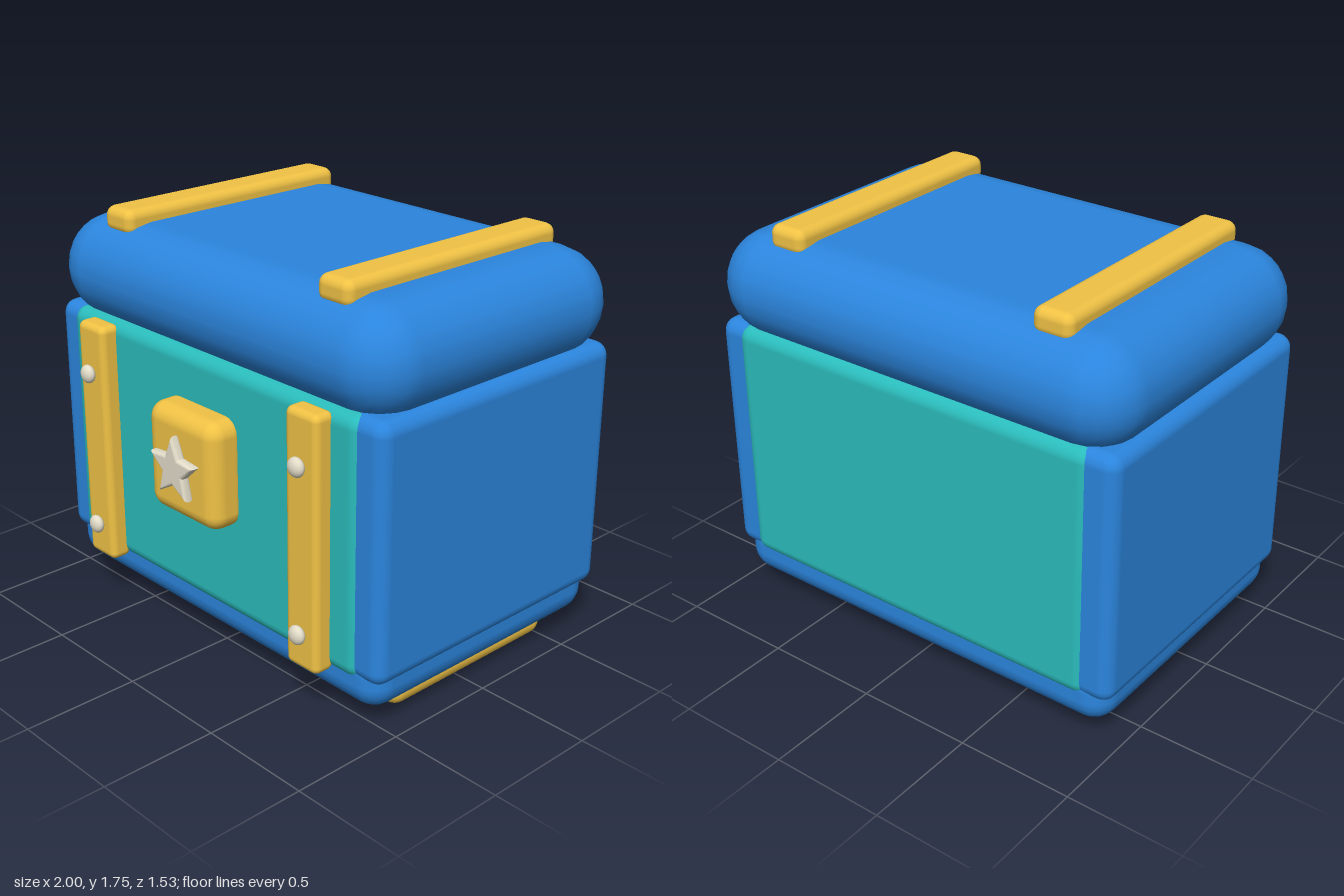
import * as THREE from 'three';
import { RoundedBoxGeometry } from 'three/addons/geometries/RoundedBoxGeometry.js';

const material = (color) => new THREE.MeshStandardMaterial({ color });

export function createModel() {
  const chest = new THREE.Group();
  chest.name = 'treasureChest';
  const blue = material(0x2b85dd);
  const teal = material(0x2bbcbc);
  const gold = material(0xf0c245);
  const pale = material(0xe2dcc8);

  // Rounded box given by its limits on each axis
  function slab(name, mat, [x0, x1], [y0, y1], [z0, z1], radius, segments = 3) {
    const mesh = new THREE.Mesh(
      new RoundedBoxGeometry(x1 - x0, y1 - y0, z1 - z0, segments, radius), mat);
    mesh.position.set((x0 + x1) / 2, (y0 + y1) / 2, (z0 + z1) / 2);
    mesh.name = name;
    chest.add(mesh);
    return mesh;
  }

  // Lid, body and base
  slab('lid', blue, [-1, 1], [1.235, 1.69], [-0.77, 0.62], 0.225);
  slab('body', teal, [-0.88, 0.88], [0.215, 1.3], [-0.735, 0.598], 0.06);
  slab('base', blue, [-0.96, 0.96], [0.08, 0.34], [-0.722, 0.58], 0.11);

  for (const side of [-1, 1]) {
    const prefix = side > 0 ? 'left' : 'right';
    const span = (a, b) => (side > 0 ? [a, b] : [-b, -a]);

    // End panel, foot and straps
    slab(prefix + 'EndPanel', blue, span(0.7, 0.985), [0.22, 1.3], [-0.725, 0.585], 0.06);
    slab(prefix + 'Foot', gold, span(0.54, 0.88), [0, 0.16], [-0.525, 0.385], 0.06);
    slab(prefix + 'FrontStrap', gold, span(0.56, 0.735), [0.21, 1.285], [0.57, 0.67], 0.03);
    slab(prefix + 'LidStrap', gold, span(0.555, 0.73), [1.64, 1.75], [-0.65, 0.51], 0.04);

    // Rivets on the front strap
    for (const [name, y] of [['LowerRivet', 0.37], ['UpperRivet', 1.07]]) {
      const rivet = new THREE.Mesh(new THREE.SphereGeometry(0.04, 20, 14), pale);
      rivet.scale.z = 0.65;
      rivet.position.set(side * 0.647, y, 0.688);
      rivet.name = prefix + name;
      chest.add(rivet);
    }
  }

  // Lock plate
  slab('lockPlate', gold, [-0.212, 0.212], [0.63, 1.095], [0.54, 0.725], 0.07);

  // Five-pointed star with softened edges
  const outline = new THREE.Shape();
  for (let i = 0; i < 10; i++) {
    const angle = Math.PI / 2 + (i * Math.PI) / 5;
    const r = i % 2 ? 0.068 : 0.142;
    const x = r * Math.cos(angle), y = r * Math.sin(angle);
    if (i) outline.lineTo(x, y); else outline.moveTo(x, y);
  }
  outline.closePath();
  const star = new THREE.Mesh(new THREE.ExtrudeGeometry(outline, {
    depth: 0.012, bevelThickness: 0.016, bevelSize: 0.015, bevelOffset: -0.015, bevelSegments: 4,
  }), pale);
  star.position.set(0, 0.865, 0.737);
  star.name = 'lockStar';
  chest.add(star);

  return chest;
}
